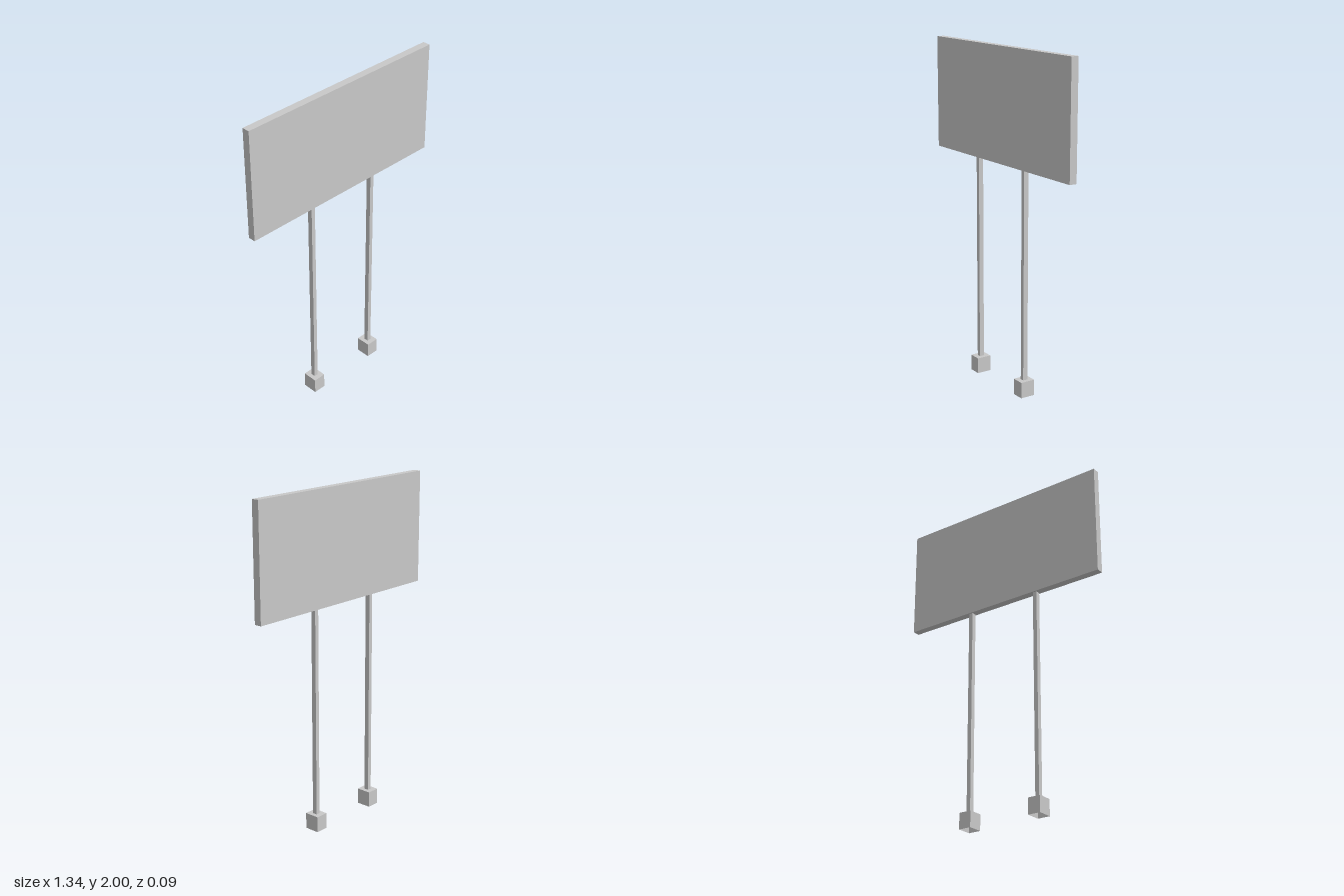
import * as THREE from 'three';

export function createModel() {
  const model = new THREE.Group();
  const grey = new THREE.MeshStandardMaterial({ color: 0xc8c8c8, side: THREE.DoubleSide });
  grey.name = 'plain grey';

  // Box standing between two heights
  function box(name, w, d, y0, y1, x = 0) {
    const mesh = new THREE.Mesh(new THREE.BoxGeometry(w, y1 - y0, d), grey);
    mesh.name = name;
    mesh.position.set(x, (y0 + y1) / 2, 0);
    return mesh;
  }

  // Drop the underside of a box (its fourth face)
  function openBottom(mesh) {
    const index = Array.from(mesh.geometry.index.array);
    index.splice(18, 6);
    mesh.geometry.setIndex(index);
    mesh.geometry.clearGroups();
    return mesh;
  }

  // Display board
  model.add(box('board', 1.338, 0.045, 1.332, 2));

  // Two square posts on hollow block footings
  for (const [side, x] of [['left', 0.229], ['right', -0.235]]) {
    const leg = new THREE.Group();
    leg.name = side + 'Leg';
    leg.add(box('post', 0.025, 0.029, 0.095, 1.332, x));
    leg.add(openBottom(box('footing', 0.077, 0.09, 0, 0.095, x)));
    model.add(leg);
  }
  return model;
}
